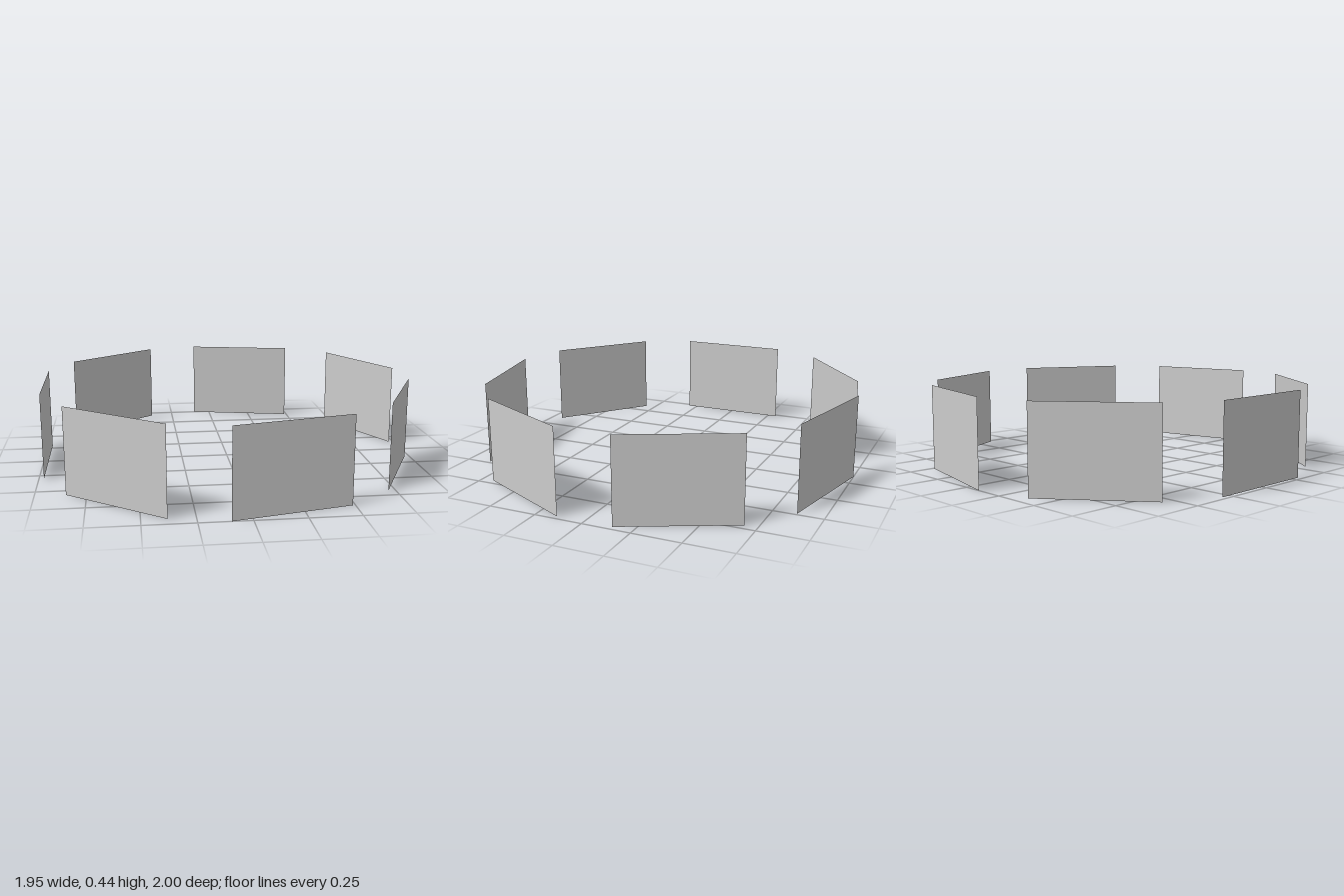
import * as THREE from 'three';

const COUNT = 7;
const RADIUS = 0.957; // ring centre to the middle of a panel
const WIDTH = 0.6;
const HEIGHT = 0.44;
const SHIFT_X = -0.018; // an odd count is lopsided, so this centres its bounds

export function createModel() {
  const model = new THREE.Group();
  model.name = 'panelRing';
  const material = new THREE.MeshStandardMaterial({
    color: 0xcccccc, side: THREE.DoubleSide, flatShading: true,
  });
  const geometry = new THREE.PlaneGeometry(WIDTH, HEIGHT);

  // Thin upright panels spaced evenly round a circle, each facing outward
  for (let i = 0; i < COUNT; i++) {
    const angle = ((2 * i + 1) * Math.PI) / COUNT;
    const panel = new THREE.Mesh(geometry, material);
    panel.name = `panel${i + 1}`;
    panel.position.set(RADIUS * Math.cos(angle) + SHIFT_X, HEIGHT / 2, RADIUS * Math.sin(angle));
    panel.rotation.y = Math.PI / 2 - angle;
    model.add(panel);
  }
  return model;
}
